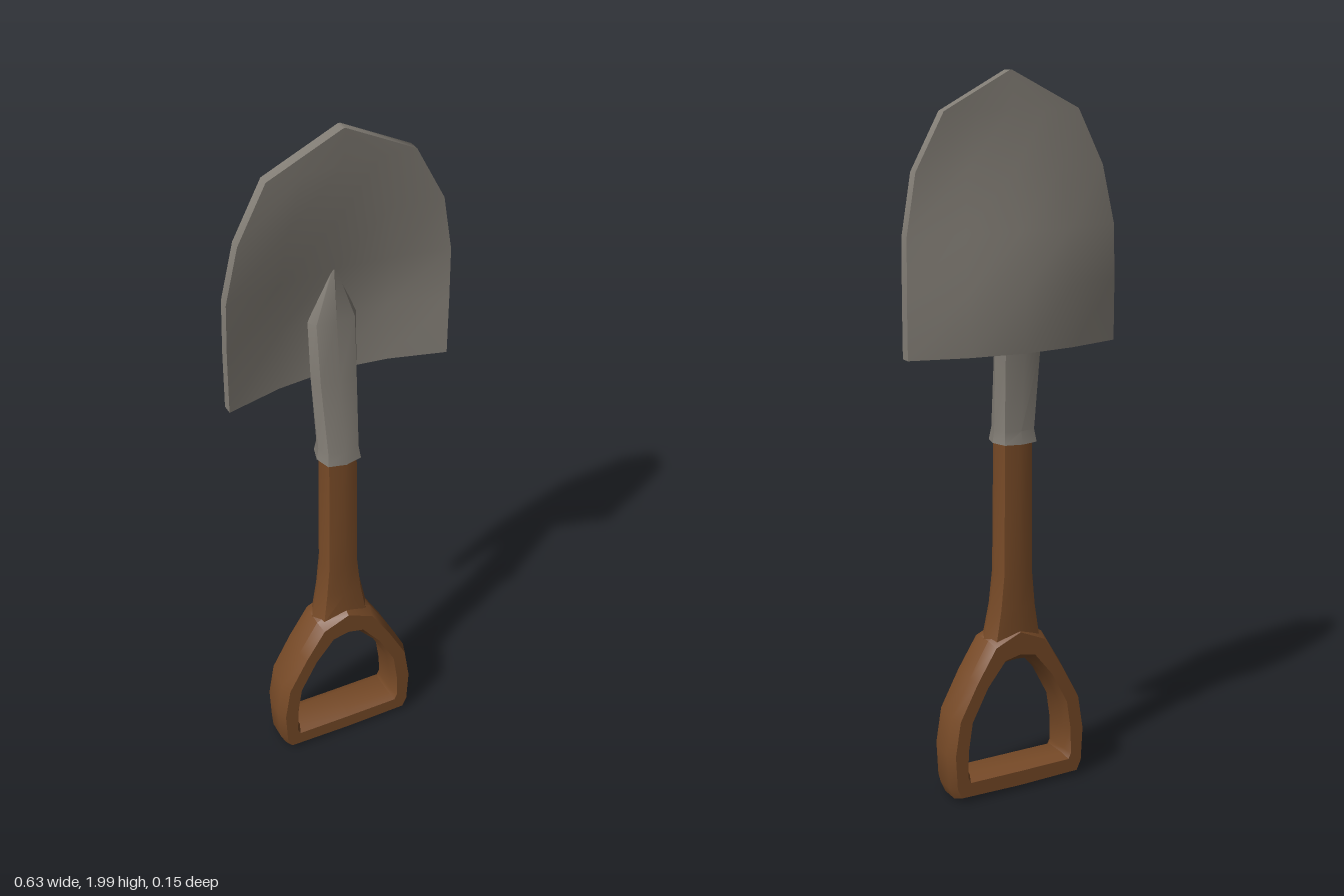
import * as THREE from 'three';
import { toCreasedNormals } from 'three/addons/utils/BufferGeometryUtils.js';

// Skin a list of equal-length rings of [x, y, z]; closed joins last to first, otherwise ends are capped.
function loft(rings, closed, crease) {
  const n = rings[0].length, m = rings.length, idx = [];
  const quad = (a, b, c, d) => idx.push(a, b, c, a, c, d);
  for (let j = 0; j < (closed ? m : m - 1); j++) {
    const k = (j + 1) % m;
    for (let i = 0; i < n; i++) {
      const p = (i + 1) % n;
      quad(j * n + i, j * n + p, k * n + p, k * n + i);
    }
  }
  if (!closed) {
    const t = (m - 1) * n;
    for (let i = 0; i < n / 2 - 1; i++) {
      quad(t + i, t + i + 1, t + n - 2 - i, t + n - 1 - i);
      quad(n - 1 - i, n - 2 - i, i + 1, i);
    }
  }
  const g = new THREE.BufferGeometry();
  g.setAttribute('position', new THREE.Float32BufferAttribute(rings.flat(2), 3));
  g.setIndex(idx);
  g.scale(100, 100, 100); // keeps close vertices distinct while creasing
  const out = toCreasedNormals(g, crease);
  out.scale(0.01, 0.01, 0.01);
  return out;
}

// Eight-sided horizontal section: height, half width, front z, back z
function section([y, w, zf, zb], corner) {
  const c = (zf + zb) / 2, d = (zf - zb) / 2, pts = [];
  for (let i = 0; i < 8; i++) {
    const a = i * Math.PI / 4, k = i % 2 ? corner : 1;
    pts.push([Math.cos(a) * w * k, y, c - Math.sin(a) * d * k]);
  }
  return pts;
}

export function createModel() {
  const group = new THREE.Group();
  const wood = new THREE.MeshStandardMaterial({ color: 0x774a27 });
  wood.name = 'brown wood';
  const steel = new THREE.MeshStandardMaterial({ color: 0x827d75 });
  steel.name = 'grey steel';
  const add = (name, geo, mat) => {
    const mesh = new THREE.Mesh(geo, mat);
    mesh.name = name;
    group.add(mesh);
  };

  // Wooden shaft, flaring into the grip
  const shaft = [
    [0.42, 0.1, 0.064, -0.046], [0.46, 0.086, 0.06, -0.046], [0.55, 0.068, 0.05, -0.045],
    [0.65, 0.056, 0.046, -0.045], [1.04, 0.053, 0.041, -0.045],
  ];
  add('shaft', loft(shaft.map((r) => section(r, 1.1)), false, 0.9), wood);

  // D-shaped grip: stations of inner and outer points, mirrored
  const half = [
    [0.038, 0.392, 0.085, 0.46], [0.093, 0.33, 0.143, 0.362], [0.14, 0.24, 0.2, 0.255],
    [0.152, 0.16, 0.217, 0.15], [0.156, 0.09, 0.21, 0.045], [0.15, 0.077, 0.195, 0.012],
  ];
  const mirrored = half.map(([a, b, c, d]) => [-a, b, -c, d]).reverse();
  const stations = [[0, 0.395, 0, 0.5], ...half, [0, 0.077, 0, 0.008], ...mirrored];
  const profile = [[1, 0.45], [0.82, 1], [0.2, 1], [0, 0.6], [0, -0.6], [0.2, -1], [0.82, -1], [1, -0.45]];
  const gripRings = stations.map(([ix, iy, ox, oy]) =>
    profile.map(([t, s]) => [ix + (ox - ix) * t, iy + (oy - iy) * t, 0.011 + s * 0.06]));
  add('grip', loft(gripRings, true, 0.7), wood);

  // Socket with a flared lip, tapering to a ridge on the blade
  const socket = [
    [1.02, 0.062, 0.054, -0.06], [1.055, 0.057, 0.045, -0.051], [1.27, 0.066, 0.014, -0.068],
    [1.44, 0.069, -0.006, -0.066], [1.6, 0.004, -0.022, -0.045],
  ];
  add('socket', loft(socket.map((r) => section(r, 1.12)), false, 0.55), steel);

  // Dished blade: height, half width, centre back z, edge back z
  const blade = [
    [1.27, 0.315, -0.071, -0.012], [1.44, 0.315, -0.076, -0.012], [1.59, 0.312, -0.051, -0.01],
    [1.75, 0.28, -0.021, 0], [1.9, 0.2, -0.002, -0.004], [2, 0.003, 0.005, 0.005],
  ];
  const bladeRings = blade.map(([y, w, zc, ze]) => {
    const across = [1, 0.5, 0, -0.5, -1].map((u) => {
      const k = Math.abs(u) === 0.5 ? 0.7 : 1 - Math.abs(u);
      return [u * w, y, ze + (zc - ze) * k];
    });
    return [...across, ...across.map(([x, h, z]) => [x, h, z + 0.03]).reverse()];
  });
  add('blade', loft(bladeRings, false, 0.7), steel);

  return group;
}
